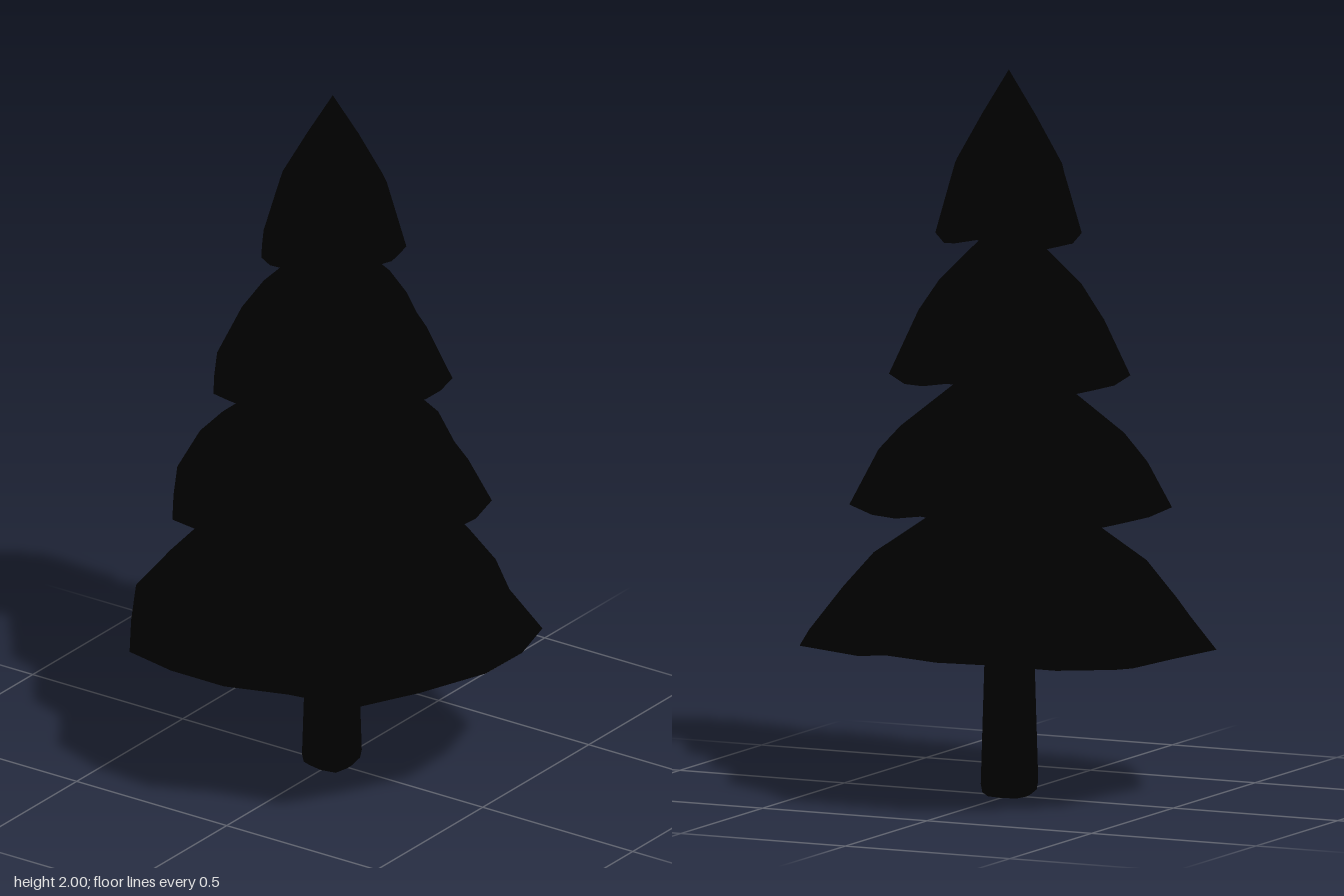
import * as THREE from 'three';

const black = new THREE.MeshStandardMaterial({ color: 0x000000 });
black.name = 'near black';

// Skin a stack of rings (listed top to bottom); point(ring, angle, column) gives [x, y, z]
function loft(name, rings, columns, start, point) {
  const positions = [], index = [];
  rings.forEach((ring, i) => {
    for (let j = 0; j < columns; j++) {
      positions.push(...point(ring, start + (j / columns) * Math.PI * 2, j));
      if (i === rings.length - 1) continue;
      const a = i * columns + j, b = i * columns + ((j + 1) % columns);
      index.push(a, b, a + columns, b, b + columns, a + columns);
    }
  });
  const geometry = new THREE.BufferGeometry();
  geometry.setAttribute('position', new THREE.Float32BufferAttribute(positions, 3));
  geometry.setIndex(index);
  geometry.computeVertexNormals();
  const mesh = new THREE.Mesh(geometry, black);
  mesh.name = name;
  return mesh;
}

// Branch outline: nine pointed corners with shallow notches between them
const OUTLINE = [0.55, 0.512, 0.572, 0.563, 0.578, 0.534, 0.55, 0.495, 0.535,
  0.546, 0.576, 0.55, 0.585, 0.547, 0.588, 0.57, 0.584, 0.535].map((r) => r / 0.575);
// Uneven height of the rim
const DROOP = [0.04, 0.005, -0.005, 0.01, 0.03, 0.005, -0.01, 0, 0.01,
  0, -0.02, -0.015, 0, 0, 0, 0.01, 0.035, 0.03];

// Profile points are [radius, y, share of the uneven outline]; the last one is the rim
const tiers = [
  { name: 'bottomBranches', x: 0, profile: [[0, 0.88, 0], [0.19, 0.785, 0.2], [0.385, 0.65, 0.5], [0.475, 0.55, 0.8], [0.575, 0.425, 1]], lip: 0.015, inset: 0.86 },
  { name: 'lowerBranches', x: -0.015, profile: [[0, 1.24, 0], [0.14, 1.14, 0.2], [0.315, 1.0, 0.5], [0.38, 0.93, 0.8], [0.445, 0.81, 1]], lip: 0.03, inset: 0.86 },
  { name: 'upperBranches', x: -0.008, profile: [[0, 1.62, 0], [0.085, 1.525, 0.2], [0.2, 1.41, 0.4], [0.262, 1.32, 0.7], [0.333, 1.17, 1]], lip: 0.03, inset: 0.87 },
  { name: 'treeTop', x: 0, profile: [[0, 2, 0], [0.075, 1.875, 0.2], [0.148, 1.745, 0.4], [0.167, 1.68, 0.7], [0.202, 1.558, 1]], lip: 0.03, inset: 0.88 },
];

export function createModel() {
  const tree = new THREE.Group();
  tree.name = 'pineTree';

  for (const { name, x, profile, lip, inset } of tiers) {
    const tier = new THREE.Group();
    tier.name = name;
    const point = ([r, y, w], angle, j) => {
      const radius = r * (1 + (OUTLINE[j] - 1) * w);
      const shift = x * Math.min(1, r * 4);
      return [shift + Math.cos(angle) * radius, y + DROOP[j] * w * 0.9, Math.sin(angle) * radius];
    };
    const [r, y] = profile[profile.length - 1];
    const start = THREE.MathUtils.degToRad(18.5);
    // Sloping foliage, then the rolled-under lip and underside
    tier.add(loft(name + 'Foliage', profile, 18, start, point));
    const under = [[r, y, 1], [r * inset, y - lip, 0.8], [r * 0.4, y - lip + 0.012, 0.1], [0, y - lip + 0.012, 0]];
    tier.add(loft(name + 'Underside', under, 18, start, point));
    tree.add(tier);
  }

  // Rounded square trunk, slightly tapered with a bevelled foot
  const trunk = [[0.055, 0.5], [0.06, 0.41], [0.07, 0.035], [0.066, 0.012], [0.052, 0], [0, 0]];
  tree.add(loft('trunk', trunk, 8, 0, ([r, y], angle, j) => {
    const radius = r * (j % 2 ? 1.18 : 1);
    return [Math.cos(angle) * radius - 0.004, y, Math.sin(angle) * radius];
  }));
  return tree;
}
